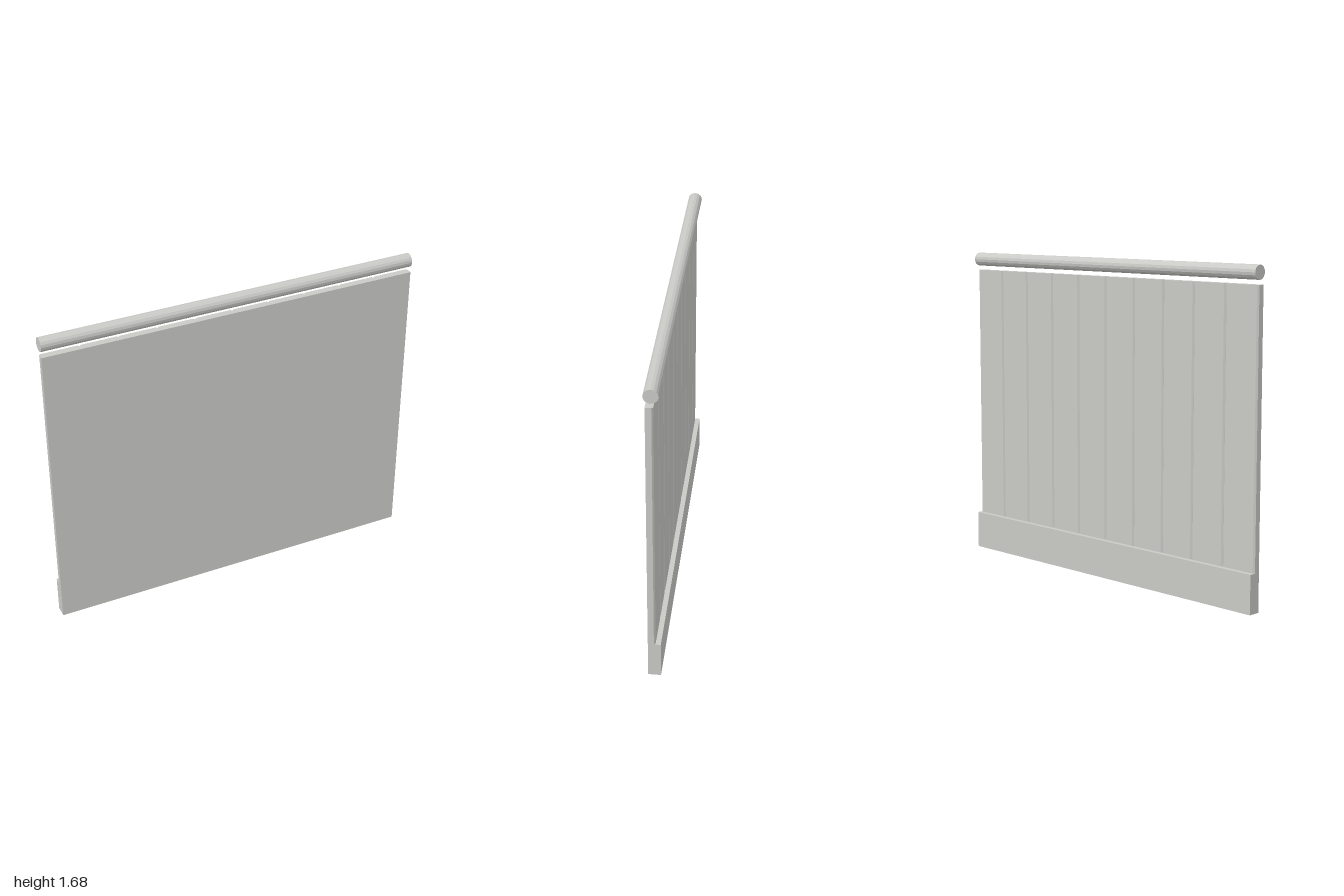
import * as THREE from 'three';

export function createModel() {
  const group = new THREE.Group();
  const lightGrey = new THREE.MeshStandardMaterial({ color: 0xc9c9c6, flatShading: true });
  lightGrey.name = 'lightGrey';

  const add = (name, geometry, x, y, z) => {
    const mesh = new THREE.Mesh(geometry, lightGrey);
    mesh.name = name;
    mesh.position.set(x, y, z);
    group.add(mesh);
    return mesh;
  };

  const front = 0.027, boardBack = 0.011, skirtBack = 0.037;
  const skirtHeight = 0.2, panelTop = 1.582;
  const boards = 10, boardWidth = 2 / boards, bevel = 0.008;

  // Panel of ten bevelled boards: plan outline (shape y = -z) extruded upwards
  const plan = new THREE.Shape();
  plan.moveTo(-1, -front);
  plan.lineTo(1, -front);
  for (let i = 0; i < boards; i++) {
    const right = 1 - i * boardWidth;
    const left = right - boardWidth;
    plan.lineTo(right, boardBack - bevel);
    plan.lineTo(right - bevel, boardBack);
    plan.lineTo(left + bevel, boardBack);
  }
  plan.lineTo(-1, boardBack - bevel);
  plan.closePath();
  const panel = new THREE.ExtrudeGeometry(plan, { depth: panelTop - skirtHeight, bevelEnabled: false });
  panel.rotateX(-Math.PI / 2);
  add('boardedPanel', panel, 0, skirtHeight, 0);

  // Skirting along the foot, projecting at the back
  add('skirting', new THREE.BoxGeometry(2, skirtHeight, front + skirtBack),
    0, skirtHeight / 2, (front - skirtBack) / 2);

  // Round handrail floating above the panel
  const rail = new THREE.CylinderGeometry(0.036, 0.036, 2, 16);
  rail.rotateZ(Math.PI / 2);
  add('handrail', rail, 0, 1.641, 0);

  return group;
}
